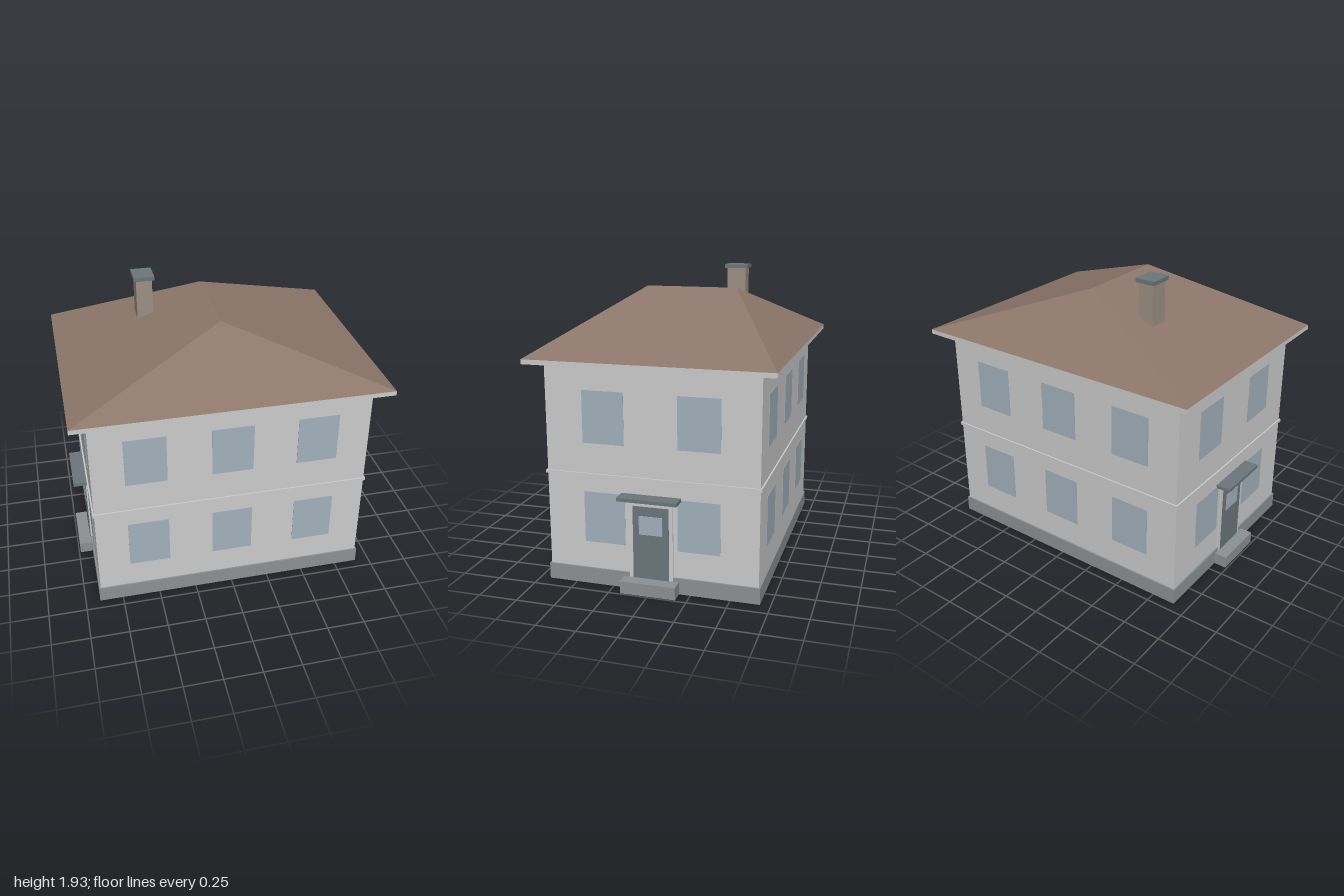
import * as THREE from 'three';

const material = (color) => new THREE.MeshStandardMaterial({ color, flatShading: true });

export function createModel() {
  const house = new THREE.Group();
  house.name = 'house';

  const wallMat = material(0xcccccc);
  const plinthMat = material(0x8c9194);
  const glassMat = material(0xa3b1bc);
  const doorMat = material(0x6c767b);
  const roofMat = material(0x8d766a);
  const chimneyMat = material(0x9c9083);

  const add = (parent, name, geometry, mat) => {
    const mesh = new THREE.Mesh(geometry, mat);
    mesh.name = name;
    parent.add(mesh);
    return mesh;
  };

  // Box given by its lower and upper corner
  const box = (parent, name, mat, [x0, y0, z0], [x1, y1, z1]) => {
    const g = new THREE.BoxGeometry(x1 - x0, y1 - y0, z1 - z0);
    g.translate((x0 + x1) / 2, (y0 + y1) / 2, (z0 + z1) / 2);
    return add(parent, name, g, mat);
  };

  // Rectangular ring standing between two heights
  const rectangle = (path, hx, hz) =>
    path.moveTo(-hx, -hz).lineTo(hx, -hz).lineTo(hx, hz).lineTo(-hx, hz).closePath();
  const ring = (name, mat, hx, hz, thickness, y0, y1) => {
    const shape = rectangle(new THREE.Shape(), hx, hz);
    shape.holes.push(rectangle(new THREE.Path(), hx - thickness, hz - thickness));
    const g = new THREE.ExtrudeGeometry(shape, { depth: y1 - y0, bevelEnabled: false });
    g.rotateX(-Math.PI / 2).translate(0, y0, 0);
    return add(house, name, g, mat);
  };

  // Body: hollow walls, floor set above the open base, plinth and band
  ring('walls', wallMat, 0.895, 0.675, 0.01, 0, 1.42);
  ring('plinth', plinthMat, 0.905, 0.685, 0.01, 0, 0.105);
  ring('storeyBand', wallMat, 0.905, 0.685, 0.01, 0.71, 0.73);
  box(house, 'floor', plinthMat, [-0.887, 0.1, -0.667], [0.887, 0.12, 0.667]);

  // Hipped roof: the top of a box drawn in to a ridge along z
  box(house, 'eaves', wallMat, [-1, 1.41, -0.775], [1, 1.44, 0.775]);
  const roof = new THREE.BoxGeometry(2, 0.36, 1.55).translate(0, 1.62, 0);
  const p = roof.attributes.position;
  for (let i = 0; i < p.count; i++) {
    if (p.getY(i) > 1.62) p.setXYZ(i, 0, 1.8, Math.sign(p.getZ(i)) * 0.31);
  }
  roof.computeVertexNormals();
  add(house, 'roof', roof, roofMat);

  // Chimney
  box(house, 'chimney', chimneyMat, [-0.45, 1.5, -0.295], [-0.345, 1.91, -0.165]);
  box(house, 'chimneyCap', doorMat, [-0.465, 1.905, -0.31], [-0.33, 1.93, -0.15]);

  // Windows in two rows on all four sides
  const windows = new THREE.Group();
  windows.name = 'windows';
  house.add(windows);
  for (const y of [0.28, 0.922]) {
    for (const side of [-1, 1]) {
      for (const x of [-0.553, 0, 0.553]) {
        box(windows, 'longSideWindow', glassMat,
          [x - 0.133, y, side * 0.675 - 0.003], [x + 0.133, y + 0.33, side * 0.675 + 0.003]);
      }
      for (const z of [-0.302, 0.302]) {
        box(windows, 'shortSideWindow', glassMat,
          [side * 0.895 - 0.003, y, z - 0.133], [side * 0.895 + 0.003, y + 0.33, z + 0.133]);
      }
    }
  }

  // Matching entrances on the left and right sides
  for (const [name, turn] of [['leftEntrance', 0], ['rightEntrance', Math.PI]]) {
    const entrance = new THREE.Group();
    entrance.name = name;
    entrance.rotation.y = turn;
    house.add(entrance);
    box(entrance, 'step', plinthMat, [0.865, 0, -0.177], [0.99, 0.08, 0.177]);
    box(entrance, 'doorFrame', wallMat, [0.89, 0.08, -0.14], [0.906, 0.575, 0.14]);
    box(entrance, 'door', doorMat, [0.89, 0.08, -0.115], [0.91, 0.55, 0.115]);
    box(entrance, 'doorWindow', glassMat, [0.9, 0.37, -0.075], [0.913, 0.49, 0.075]);
    box(entrance, 'canopy', doorMat, [0.89, 0.6, -0.19], [0.99, 0.622, 0.19]);
  }

  return house;
}
